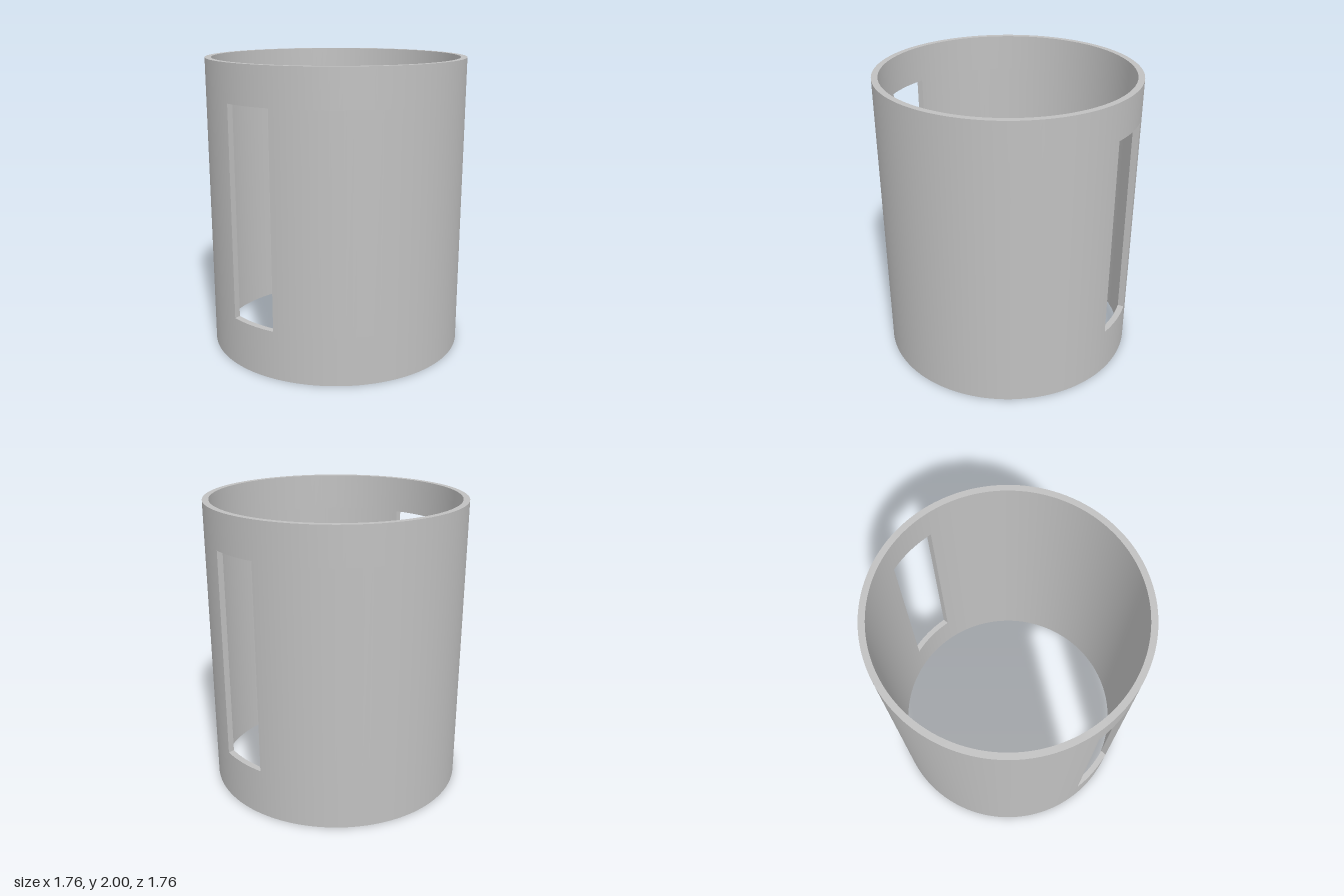
import * as THREE from 'three';

const OUTER = 0.88, INNER = 0.838;          // tube radii
const SLOT = 0.17;                          // half width of each slot
const LEVELS = [0, 0.33, 1.75, 2];          // base, slot bottom, slot top, rim

// Angles of one quarter-symmetric half turn: across a slot, then along a solid wall.
function columnAngles(radius) {
  const a = Math.asin(SLOT / radius), slotSteps = 8, wallSteps = 56;
  const list = [];
  for (const start of [0, Math.PI]) {
    for (let i = 0; i < slotSteps; i++) list.push({ t: start - a + (2 * a * i) / slotSteps, open: true, start: false });
    for (let i = 0; i < wallSteps; i++) {
      list.push({ t: start + a + ((Math.PI - 2 * a) * i) / wallSteps, open: false, wallStart: i === 0, wallEnd: i === wallSteps - 1 });
    }
  }
  list.push({ t: 2 * Math.PI - a });
  return list;
}

function slottedTube() {
  const positions = [], normals = [];
  const out = columnAngles(OUTER), inn = columnAngles(INNER);
  const point = (r, t, y) => new THREE.Vector3(r * Math.sin(t), y, r * Math.cos(t));

  // Adds a four-cornered face; side is 1 or -1 for round surfaces, 0 for flat ones.
  function quad(corners, side = 0) {
    const [a, b, c] = corners;
    const flat = b.clone().sub(a).cross(c.clone().sub(a)).normalize();
    for (const k of [0, 1, 2, 0, 2, 3]) {
      const p = corners[k];
      const n = side ? new THREE.Vector3(p.x, 0, p.z).normalize().multiplyScalar(side) : flat;
      positions.push(p.x, p.y, p.z);
      normals.push(n.x, n.y, n.z);
    }
  }

  for (let i = 0; i < out.length - 1; i++) {
    const { open, wallStart, wallEnd } = out[i];
    const O = (k, y) => point(OUTER, out[i + k].t, y);
    const I = (k, y) => point(INNER, inn[i + k].t, y);

    // Outer and inner skins, leaving the slots open
    for (let j = 0; j < 3; j++) {
      if (open && j === 1) continue;
      const y0 = LEVELS[j], y1 = LEVELS[j + 1];
      quad([O(0, y0), O(1, y0), O(1, y1), O(0, y1)], 1);
      quad([I(1, y0), I(0, y0), I(0, y1), I(1, y1)], -1);
    }

    // Rims, plus the sill and lintel of each slot
    const faceUp = (y) => quad([O(0, y), O(1, y), I(1, y), I(0, y)]);
    const faceDown = (y) => quad([I(0, y), I(1, y), O(1, y), O(0, y)]);
    faceUp(LEVELS[3]);
    faceDown(LEVELS[0]);
    if (open) {
      faceUp(LEVELS[1]);
      faceDown(LEVELS[2]);
    }

    // Upright jambs of the slots
    const [, lo, hi] = LEVELS;
    if (wallStart) quad([I(0, lo), O(0, lo), O(0, hi), I(0, hi)]);
    if (wallEnd) quad([O(1, lo), I(1, lo), I(1, hi), O(1, hi)]);
  }

  const geometry = new THREE.BufferGeometry();
  geometry.setAttribute('position', new THREE.Float32BufferAttribute(positions, 3));
  geometry.setAttribute('normal', new THREE.Float32BufferAttribute(normals, 3));
  return geometry;
}

export function createModel() {
  const grey = new THREE.MeshStandardMaterial({ color: 0xc0c0c0 });
  grey.name = 'light grey';

  const tube = new THREE.Mesh(slottedTube(), grey);
  tube.name = 'slottedTube';

  const model = new THREE.Group();
  model.name = 'slottedSleeve';
  model.add(tube);
  return model;
}
